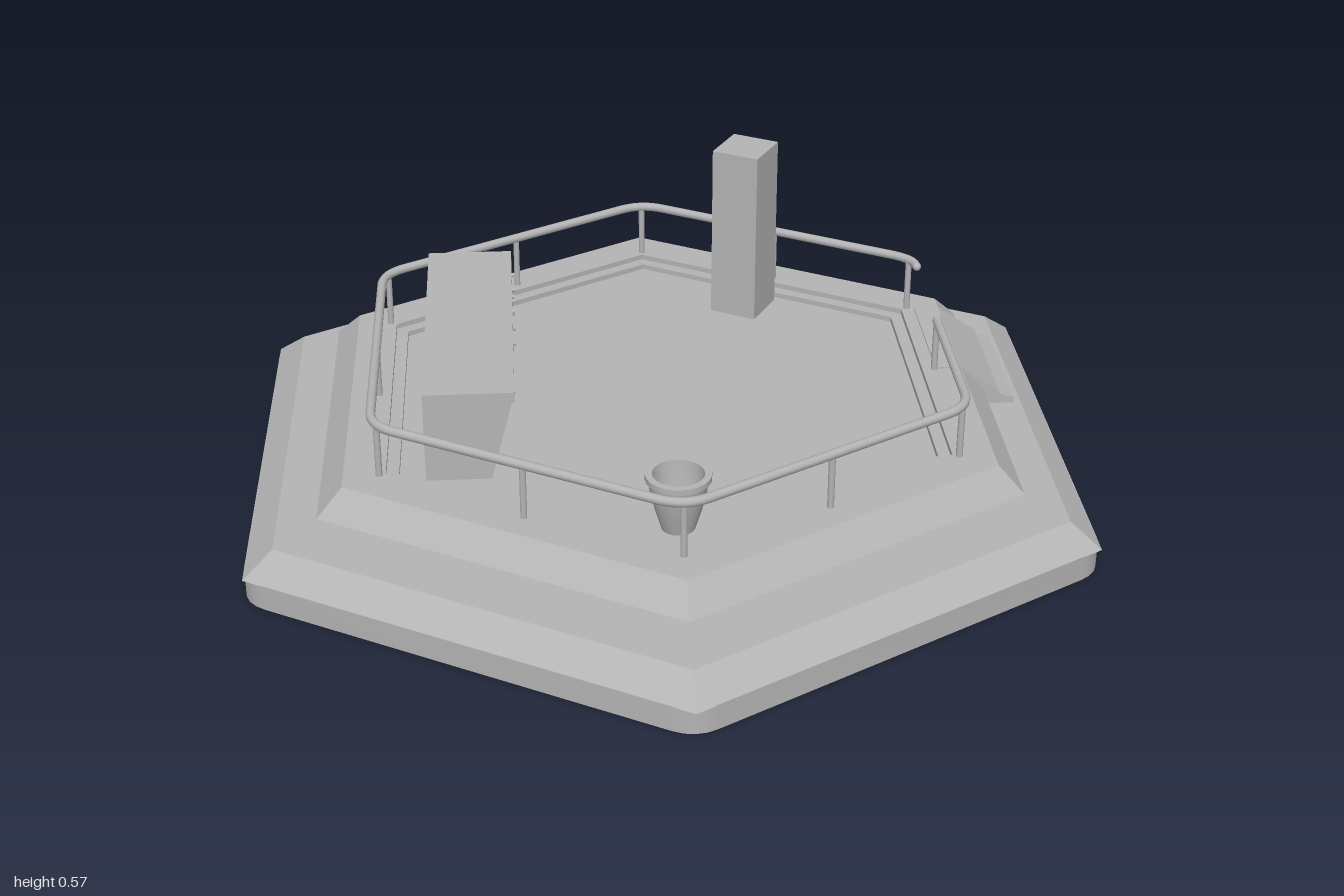
import * as THREE from 'three';
import { toCreasedNormals } from 'three/addons/utils/BufferGeometryUtils.js';

export function createModel() {
  const group = new THREE.Group();
  const grey = new THREE.MeshStandardMaterial({ color: 0xb4b4b4 });
  grey.name = 'grey';

  const add = (name, geo, x = 0, y = 0, z = 0, parent = group) => {
    const m = new THREE.Mesh(geo, grey);
    m.name = name;
    m.position.set(x, y, z);
    parent.add(m);
    return m;
  };
  const box = (name, x0, x1, y0, y1, z0, z1, parent) =>
    add(name, new THREE.BoxGeometry(x1 - x0, y1 - y0, z1 - z0),
      (x0 + x1) / 2, (y0 + y1) / 2, (z0 + z1) / 2, parent);
  const lathe = (pts, sides) => toCreasedNormals(
    new THREE.LatheGeometry(pts.map(p => new THREE.Vector2(...p)), sides), 0.6);
  const corner = (r, i) => new THREE.Vector3(
    r * Math.sin(i * Math.PI / 3), 0, r * Math.cos(i * Math.PI / 3));
  // Profile in x and y, extruded from z0 to z1
  const slab = (name, pts, z0, z1, parent) => add(name, new THREE.ExtrudeGeometry(
    new THREE.Shape(pts.map(p => new THREE.Vector2(...p))),
    { depth: z1 - z0, bevelEnabled: false }), 0, 0, z0, parent);

  // Base: wall with rounded corners under a sharp sloping top
  const wall = new THREE.Shape();
  for (let i = 0; i < 6; i++) {
    const c = corner(1, i);
    const a = c.clone().lerp(corner(1, i - 1), 0.05);
    const b = c.clone().lerp(corner(1, i + 1), 0.05);
    if (i === 0) wall.moveTo(a.x, a.z); else wall.lineTo(a.x, a.z);
    wall.quadraticCurveTo(c.x, c.z, b.x, b.z);
  }
  wall.closePath();
  const wallGeo = new THREE.ExtrudeGeometry(wall, { depth: 0.055, bevelEnabled: false, curveSegments: 4 });
  wallGeo.rotateX(-Math.PI / 2);
  add('baseWall', toCreasedNormals(wallGeo, 0.4));
  add('baseTop', lathe([[0, 0.054], [1, 0.054], [0.93, 0.103], [0, 0.103]], 6));

  // Deck with a stepped, sunken floor, held up by a core and short feet
  add('deck', lathe([[0, 0.14], [0.83, 0.14], [0.77, 0.194], [0.67, 0.194],
    [0.67, 0.182], [0.64, 0.182], [0.64, 0.17], [0, 0.17]], 6));
  add('deckCore', lathe([[0, 0.103], [0.5, 0.103], [0.5, 0.14], [0, 0.14]], 6));
  for (let i = 0; i < 6; i++) {
    const c = corner(0.74, i);
    add('foot', new THREE.CylinderGeometry(0.026, 0.026, 0.04, 16), c.x, 0.121, c.z);
  }

  // Entrance ramp and lower step
  slab('ramp', [[0.61, 0.172], [0.61, 0.197], [0.665, 0.197], [0.755, 0.135], [0.755, 0.125], [0.70, 0.125]],
    -0.335, -0.04);
  slab('lowerStep', [[0.70, 0.1], [0.79, 0.1], [0.79, 0.115], [0.755, 0.126], [0.70, 0.126]], -0.335, -0.04);

  // Handrail, open at the entrance
  const R = 0.7, railY = 0.314, sideX = R * Math.sin(Math.PI / 3);
  const at = v => new THREE.Vector3(v.x, railY, v.z);
  const start = new THREE.Vector3(sideX, railY, -0.04);
  const end = new THREE.Vector3(sideX, railY, -0.31);
  const path = new THREE.CurvePath();
  let from = start;
  for (let k = 0; k < 6; k++) {
    const i = 1 - k;
    const c = at(corner(R, i));
    const a = c.clone().lerp(at(corner(R, i + 1)), 0.08);
    // Corners run 1, 0, -1 ... around the far side and back to the entrance
    const b = c.clone().lerp(at(corner(R, i - 1)), k === 5 ? 0.055 : 0.08);
    path.add(new THREE.LineCurve3(from, a));
    path.add(new THREE.QuadraticBezierCurve3(a, c, b));
    from = b;
  }
  path.add(new THREE.LineCurve3(from, end));
  add('handrail', new THREE.TubeGeometry(path, 260, 0.01, 10, false));
  for (const p of [start, end]) add('railEnd', new THREE.SphereGeometry(0.01, 10, 8), p.x, p.y, p.z);

  // Rail posts near corners, at side middles and beside the entrance
  const spots = [start];
  for (let i = 0; i < 6; i++) {
    spots.push(corner(R - 0.015, i));
    if (i !== 1) spots.push(corner(R, i).lerp(corner(R, i + 1), 0.5));
  }
  for (const p of spots)
    add('railPost', new THREE.CylinderGeometry(0.007, 0.007, 0.125, 10), p.x, 0.252, p.z);

  // Desk with a tapered leg, drawer unit and centre drawer
  const desk = new THREE.Group();
  desk.name = 'desk';
  group.add(desk);
  box('deskTop', -0.5, -0.315, 0.347, 0.37, -0.335, 0.335, desk);
  slab('deskLeg', [[-0.5, 0.17], [-0.365, 0.17], [-0.32, 0.347], [-0.5, 0.347]], 0.225, 0.33, desk);
  box('drawerUnit', -0.495, -0.325, 0.17, 0.347, -0.33, -0.205, desk);
  box('centreDrawer', -0.48, -0.325, 0.325, 0.347, -0.145, 0.165, desk);
  for (const [y0, y1] of [[0.172, 0.246], [0.252, 0.342]]) {
    box('drawerFront', -0.325, -0.317, y0, y1, -0.328, -0.207, desk);
    for (const y of [y0 + 0.018, y1 - 0.018])
      for (const z of [-0.305, -0.23]) {
        const knob = add('drawerKnob', new THREE.CylinderGeometry(0.005, 0.005, 0.008, 8), -0.314, y, z, desk);
        knob.rotation.z = Math.PI / 2;
      }
  }

  // Pillar, turned to face the middle
  const pillar = add('pillar', new THREE.BoxGeometry(0.11, 0.4, 0.115), 0.222, 0.37, -0.43);
  pillar.rotation.y = -Math.PI / 6;

  // Open bucket
  add('bucket', lathe([[0, 0.17], [0.034, 0.17], [0.046, 0.21], [0.056, 0.25], [0.06, 0.278],
    [0.066, 0.28], [0.066, 0.292], [0.052, 0.292], [0.048, 0.25], [0.036, 0.19], [0, 0.19]], 24), 0, 0, 0.54);

  return group;
}
